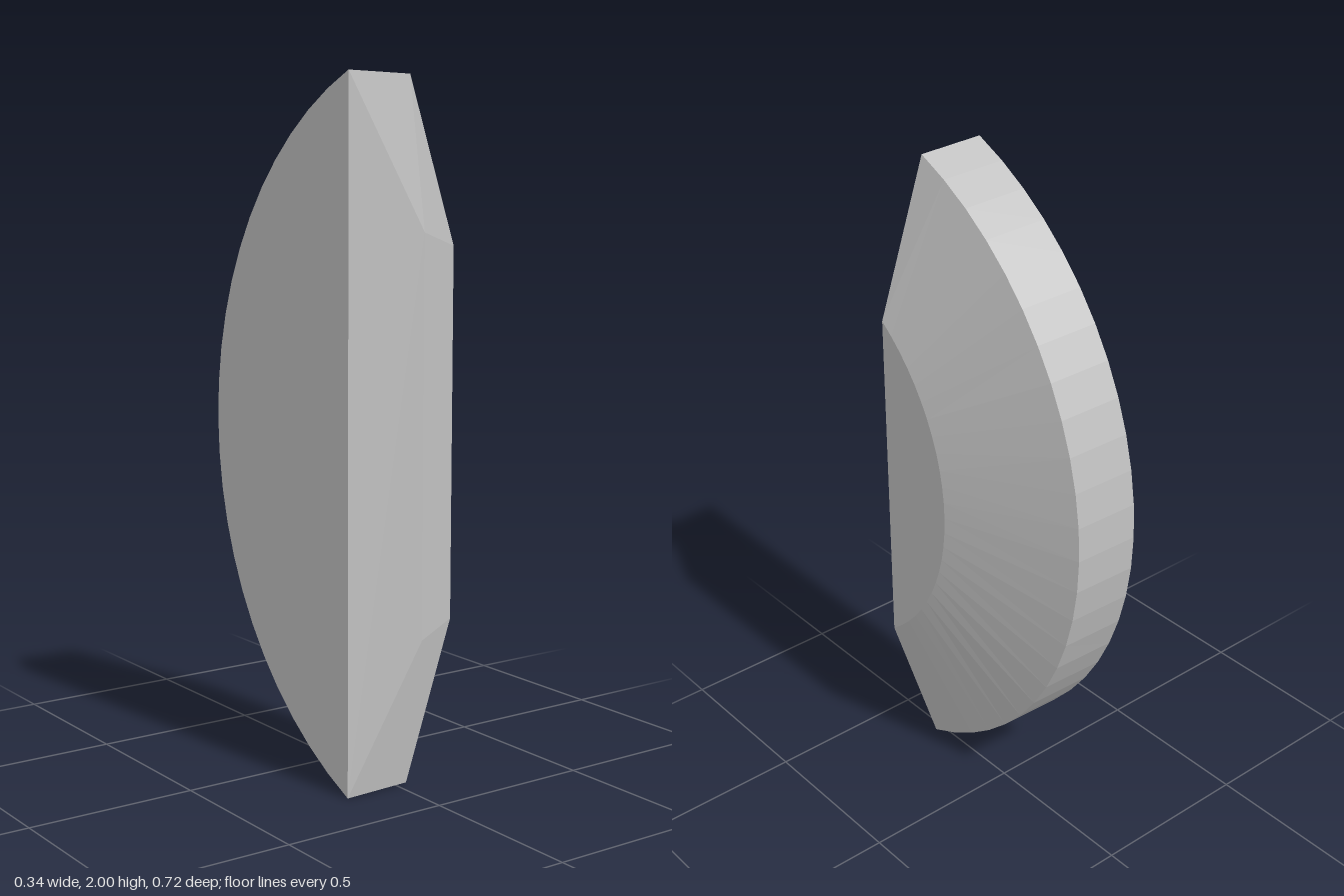
import * as THREE from 'three';

const SEGMENTS = 24;

// Arc in a plane of constant x, bulging to -z, listed from bottom to top
function arcSection(x, halfHeight, chordZ, apexZ) {
  const depth = chordZ - apexZ;
  const radius = (halfHeight ** 2 + depth ** 2) / (2 * depth);
  const half = Math.acos((radius - depth) / radius);
  return Array.from({ length: SEGMENTS + 1 }, (_, i) => {
    const a = half * (2 * i / SEGMENTS - 1);
    return [x, 1 + radius * Math.sin(a), apexZ + radius * (1 - Math.cos(a))];
  });
}

// Each polygon is a convex list of corners, split into a fan
function facetMesh(name, polygons, material) {
  const positions = [];
  for (const p of polygons)
    for (let i = 1; i < p.length - 1; i++) positions.push(...p[0], ...p[i], ...p[i + 1]);
  const geometry = new THREE.BufferGeometry();
  geometry.setAttribute('position', new THREE.Float32BufferAttribute(positions, 3));
  geometry.computeVertexNormals();
  const mesh = new THREE.Mesh(geometry, material);
  mesh.name = name;
  return mesh;
}

// Strip of quads joining two sections
function band(a, b) {
  return a.slice(0, -1).map((p, i) => [p, a[i + 1], b[i + 1], b[i]]);
}

export function createModel() {
  const group = new THREE.Group();
  group.name = 'bevelledHalfDisc';
  const grey = new THREE.MeshStandardMaterial({ color: 0xc0c0c0 });
  grey.name = 'lightGrey';

  const outer = arcSection(-0.175, 1, 0.31, -0.36);
  const middle = arcSection(0.03, 0.995, 0.31, -0.355);
  const inner = arcSection(0.17, 0.53, 0.33, 0.065);

  // Curved body
  group.add(facetMesh('flatSide', [[...outer].reverse()], grey));
  group.add(facetMesh('rim', band(outer, middle), grey));
  group.add(facetMesh('bevel', band(middle, inner), grey));
  group.add(facetMesh('raisedFace', [inner], grey));

  // Faceted front meeting at an upright ridge
  const low = [0.045, 0.43, 0.36], high = [0.045, 1.57, 0.36];
  const [o0, m0, i0] = [outer, middle, inner].map(s => s[0]);
  const [o1, m1, i1] = [outer, middle, inner].map(s => s[SEGMENTS]);
  group.add(facetMesh('frontFacets', [
    [o0, low, high, o1],
    [low, i0, i1, high],
    [o1, high, m1], [high, i1, m1],
    [o0, m0, low], [m0, i0, low],
  ], grey));
  return group;
}
